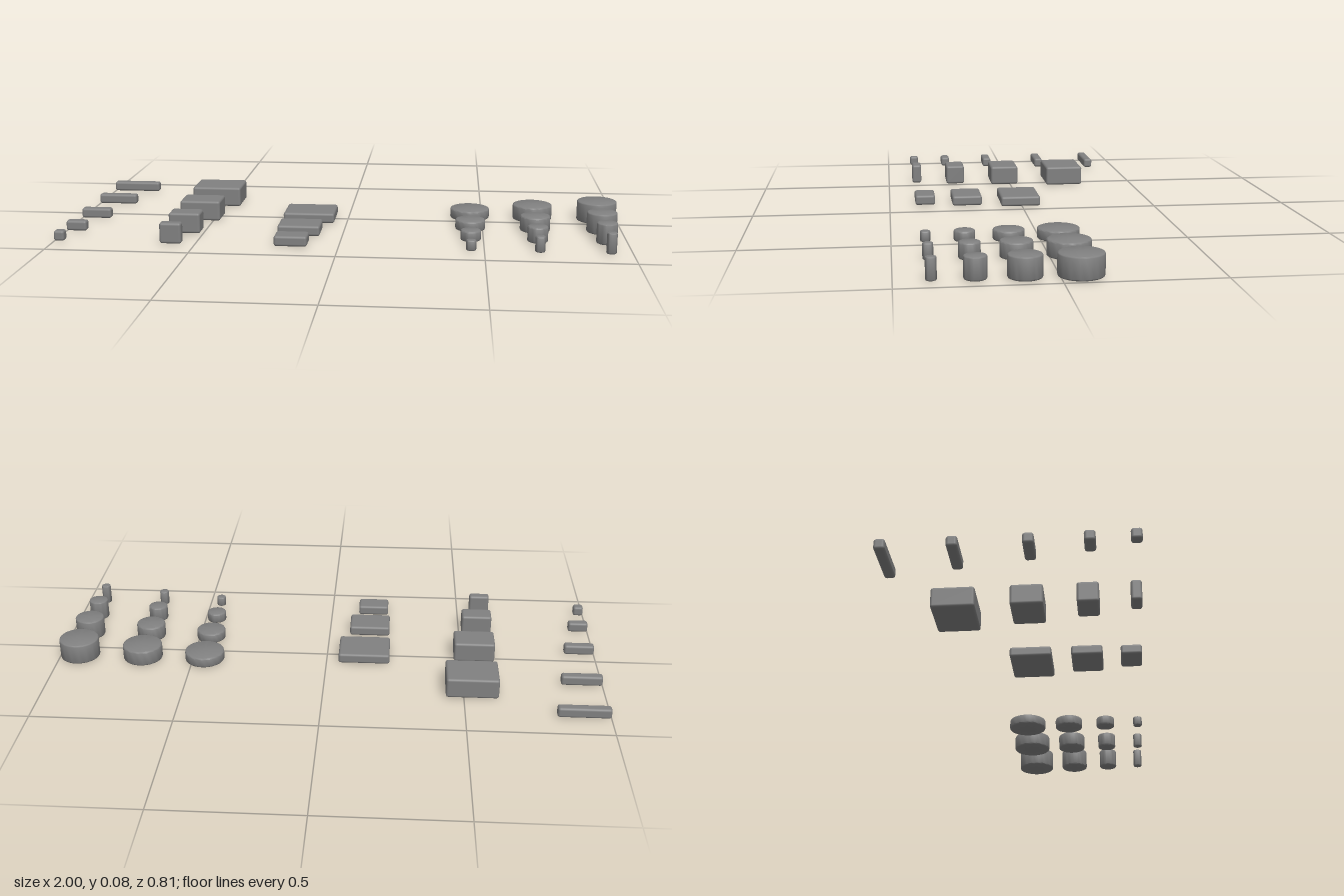
import * as THREE from 'three';
import { RoundedBoxGeometry } from 'three/addons/geometries/RoundedBoxGeometry.js';
import { toCreasedNormals } from 'three/addons/utils/BufferGeometryUtils.js';

const UNIT = 0.0368; // one size step of the block set
const BASE = 0.003;
const material = new THREE.MeshStandardMaterial({ color: 0x808080 });

function add(parent, geometry, name, x, y, z) {
  const mesh = new THREE.Mesh(geometry, material);
  mesh.name = name;
  mesh.position.set(x, y, z);
  parent.add(mesh);
}

// Soft-edged block placed by its left (-x) side and its front (+z) side
function addBlock(parent, name, left, front, w, h, d) {
  const geometry = new RoundedBoxGeometry(w, h, d, 3, 0.009);
  add(parent, geometry, name, left + w / 2, BASE + h / 2, front - d / 2);
}

// Disc with rounded rims and very slightly domed caps
function discGeometry(r, h) {
  const b = Math.min(0.005, r * 0.25);
  const dome = r * 0.025;
  const half = [[r - b, 0], [r - b * 0.3, b * 0.3], [r, b]];
  const points = [new THREE.Vector2(0, -dome)];
  half.forEach(([x, y]) => points.push(new THREE.Vector2(x, y)));
  half.reverse().forEach(([x, y]) => points.push(new THREE.Vector2(x, h - y)));
  points.push(new THREE.Vector2(0, h + dome));
  return toCreasedNormals(new THREE.LatheGeometry(points, 32), 0.8);
}

export function createModel() {
  const model = new THREE.Group();
  model.name = 'blockSet';
  const groups = {};
  for (const name of ['bars', 'tallBlocks', 'flatBlocks', 'discs']) {
    groups[name] = new THREE.Group();
    groups[name].name = name;
    model.add(groups[name]);
  }

  // Slim bars, growing towards the back
  [0.403, 0.264, 0.08, -0.149, -0.368].forEach((front, i) =>
    addBlock(groups.bars, 'bar', -1, front, (i + 1) * UNIT + 0.001, 0.037, 0.035));

  // Tall blocks, growing in width and depth
  [0.403, 0.263, 0.08, -0.146].forEach((front, i) =>
    addBlock(groups.tallBlocks, 'tallBlock', -0.623, front, (i + 2) * UNIT + 0.003, 0.074, (i + 1) * UNIT));

  // Flat blocks
  [[-0.223, 0.403], [-0.231, 0.263], [-0.234, 0.08]].forEach(([left, front], i) =>
    addBlock(groups.flatBlocks, 'flatBlock', left, front, (i + 3) * UNIT + 0.005, 0.037, (i + 2) * UNIT + 0.002));

  // Discs: three heights by four radii
  [[0.455, 0.037], [0.688, 0.056], [0.926, 0.074]].forEach(([x, h]) => {
    [[0.386, 0.0175], [0.255, 0.036], [0.106, 0.054], [-0.063, 0.0725]].forEach(([z, r]) =>
      add(groups.discs, discGeometry(r, h), 'disc', x, BASE, z));
  });
  return model;
}
